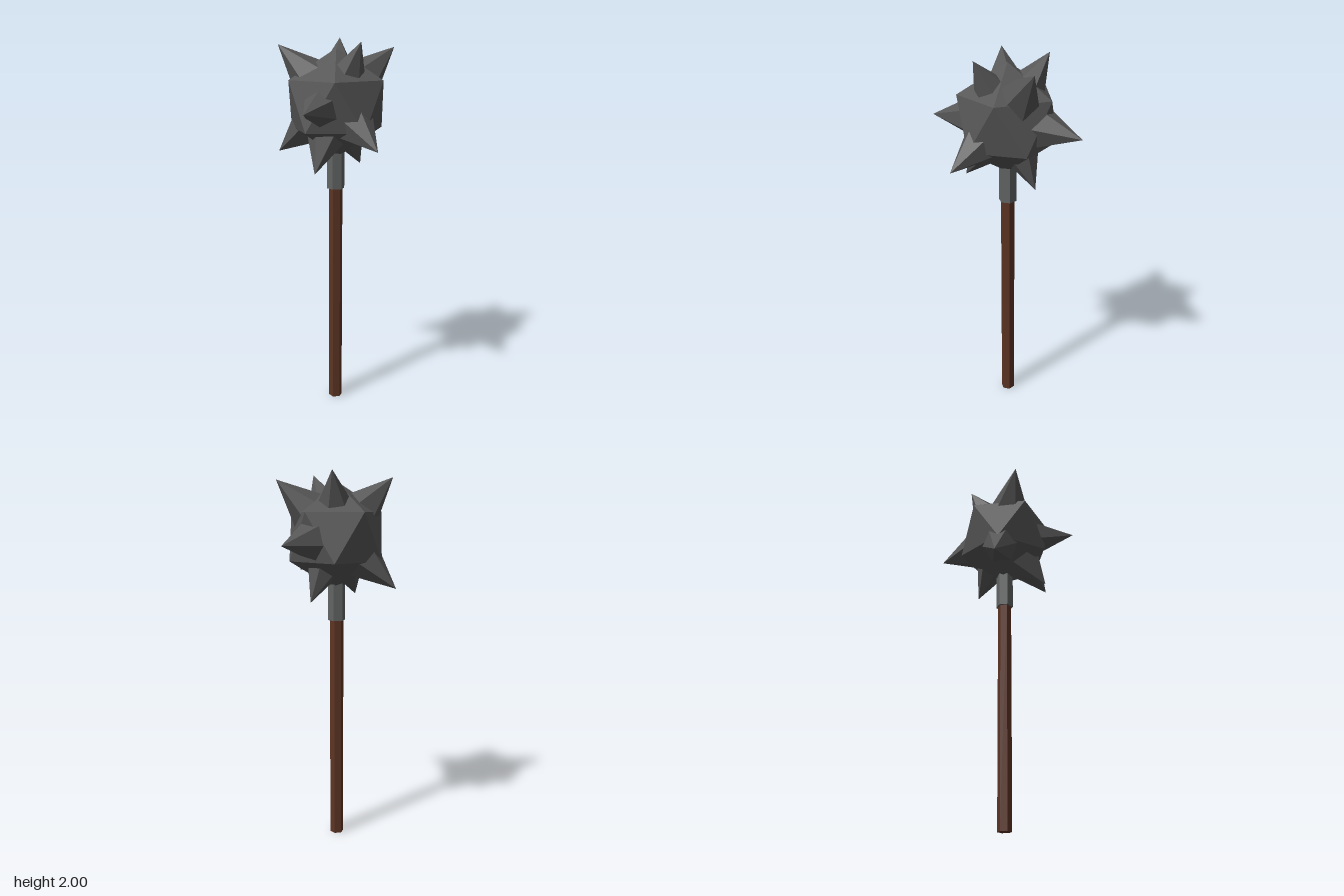
import * as THREE from 'three';
import { ConvexGeometry } from 'three/addons/geometries/ConvexGeometry.js';

export function createModel() {
  const group = new THREE.Group();
  group.name = 'spikedMace';
  const iron = new THREE.MeshStandardMaterial({ color: 0x565656, flatShading: true });
  iron.name = 'dark iron';
  const steel = new THREE.MeshStandardMaterial({ color: 0x626464, flatShading: true });
  steel.name = 'grey steel';
  const wood = new THREE.MeshStandardMaterial({ color: 0x5c3424, flatShading: true });
  wood.name = 'brown wood';

  const add = (name, geometry, material) => {
    const mesh = new THREE.Mesh(geometry, material);
    mesh.name = name;
    group.add(mesh);
    return mesh;
  };

  // Six-sided shaft and the collar joining it to the head
  const axisX = 0.017;
  add('handle', new THREE.CylinderGeometry(0.037, 0.037, 1.24, 6), wood).position.set(axisX, 0.62, 0);
  add('collar', new THREE.CylinderGeometry(0.047, 0.047, 0.27, 6), steel).position.set(axisX, 1.365, 0);

  // Head: twenty-sided ball with a corner pointing straight up
  const centre = new THREE.Vector3(0.02, 1.672, 0);
  const R = 0.28;
  const corners = [new THREE.Vector3(0, R, 0), new THREE.Vector3(0, -R, 0)];
  for (let i = 0; i < 10; i++) {
    const a = (i * Math.PI) / 5;
    const y = (i % 2 ? -R : R) / Math.sqrt(5);
    const r = (2 * R) / Math.sqrt(5);
    corners.push(new THREE.Vector3(r * Math.cos(a), y, r * Math.sin(a)));
  }
  add('head', new ConvexGeometry(corners), iron).position.copy(centre);

  // Spikes: six-sided cones pointing out from the centre, bases buried in the head
  const tips = [
    [-0.255, 1.97, 0.105], [-0.03, 2.0, -0.195], [0.19, 1.985, 0.12], [0.27, 1.955, -0.19],
    [-0.31, 1.41, -0.005], [0.31, 1.47, 0.21], [0, 1.66, 0.4], [0.155, 1.64, -0.4],
    [-0.01, 1.345, 0.235], [0.1, 1.34, -0.165],
  ];
  const up = new THREE.Vector3(0, 1, 0);
  const height = 0.26;
  const spike = new THREE.ConeGeometry(height * 0.48, height, 6);
  spike.translate(0, -height / 2, 0); // tip at the origin
  tips.forEach((p, i) => {
    const tip = new THREE.Vector3(...p);
    const mesh = add('spike' + (i + 1), spike, iron);
    mesh.position.copy(tip);
    mesh.quaternion.setFromUnitVectors(up, tip.clone().sub(centre).normalize());
  });

  return group;
}
